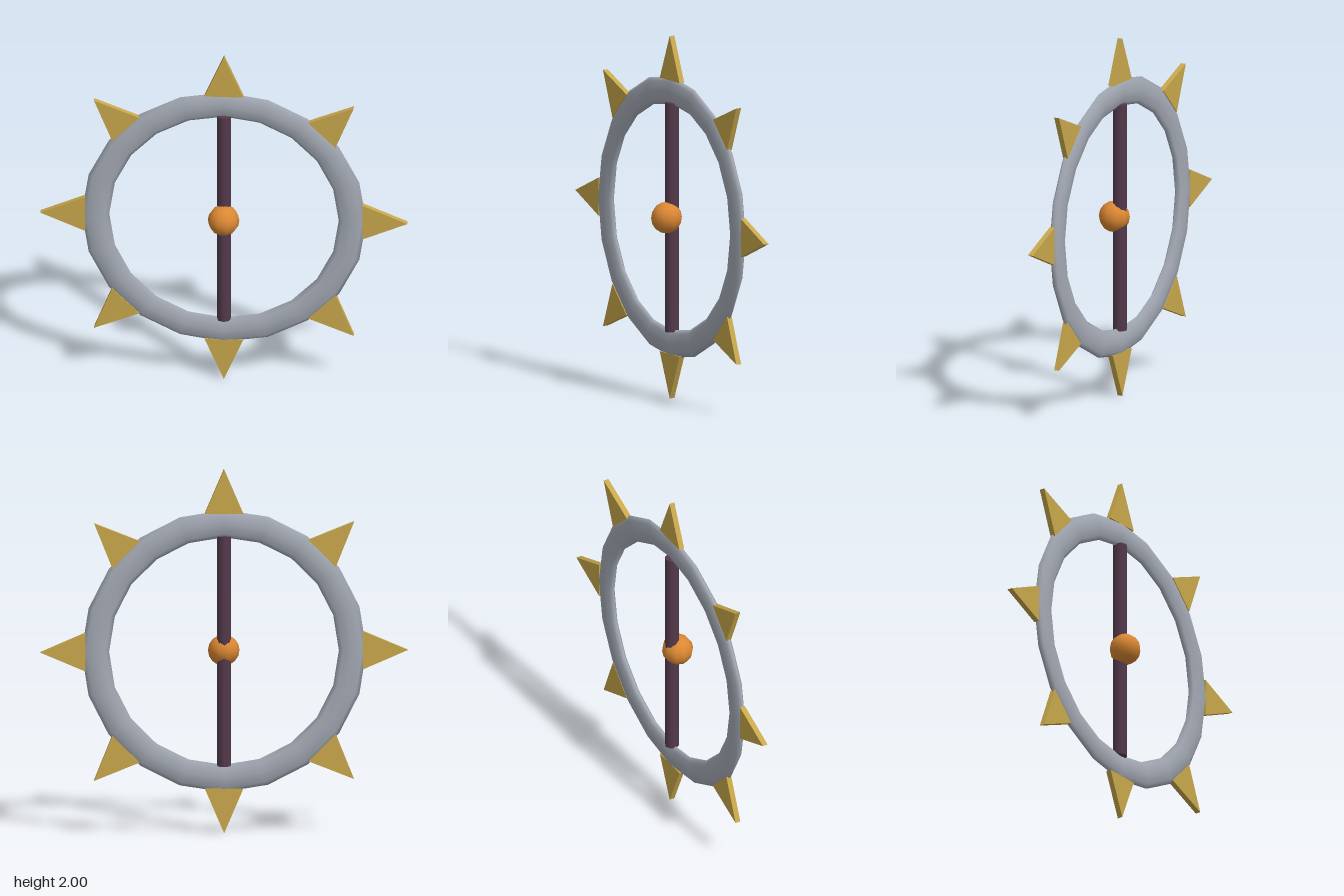
import * as THREE from 'three';

const steel = new THREE.MeshStandardMaterial({ color: 0xa3a9b4 });
steel.name = 'steel';
const gold = new THREE.MeshStandardMaterial({ color: 0xc9a84c });
gold.name = 'gold';
const grip = new THREE.MeshStandardMaterial({ color: 0x543a4c });
grip.name = 'darkGrip';
const amber = new THREE.MeshStandardMaterial({ color: 0xdb8833 });
amber.name = 'amber';

const PLANE_Z = -0.035; // depth of the ring behind the centre of the orb

export function createModel() {
  const model = new THREE.Group();
  model.name = 'spikedRing';

  const add = (name, geometry, material, parent = model) => {
    const mesh = new THREE.Mesh(geometry, material);
    mesh.name = name;
    parent.add(mesh);
    return mesh;
  };

  // Ring flattened front to back
  const ringGeometry = new THREE.TorusGeometry(0.7, 0.075, 8, 20);
  ringGeometry.scale(1, 1, 0.34);
  add('ring', ringGeometry, steel).position.set(0, 1, PLANE_Z);

  // Upright handle across the ring
  add('handle', new THREE.CylinderGeometry(0.039, 0.039, 1.264, 8), grip)
    .position.set(0, 1, PLANE_Z);

  // Orb at the centre of the handle
  add('orb', new THREE.SphereGeometry(0.086, 10, 8), amber).position.set(0, 1, 0);

  // Eight flat triangular spikes around the rim
  const triangle = new THREE.Shape([
    new THREE.Vector2(-0.105, 0.755),
    new THREE.Vector2(0.105, 0.755),
    new THREE.Vector2(0, 1),
  ]);
  const spikeGeometry = new THREE.ExtrudeGeometry(triangle, { depth: 0.03, bevelEnabled: false });
  spikeGeometry.translate(0, 0, -0.015);
  const spikes = new THREE.Group();
  spikes.name = 'spikes';
  spikes.position.set(0, 1, PLANE_Z);
  for (let i = 0; i < 8; i++) {
    add(`spike${i + 1}`, spikeGeometry, gold, spikes).rotation.z = (i * Math.PI) / 4;
  }
  model.add(spikes);

  return model;
}
